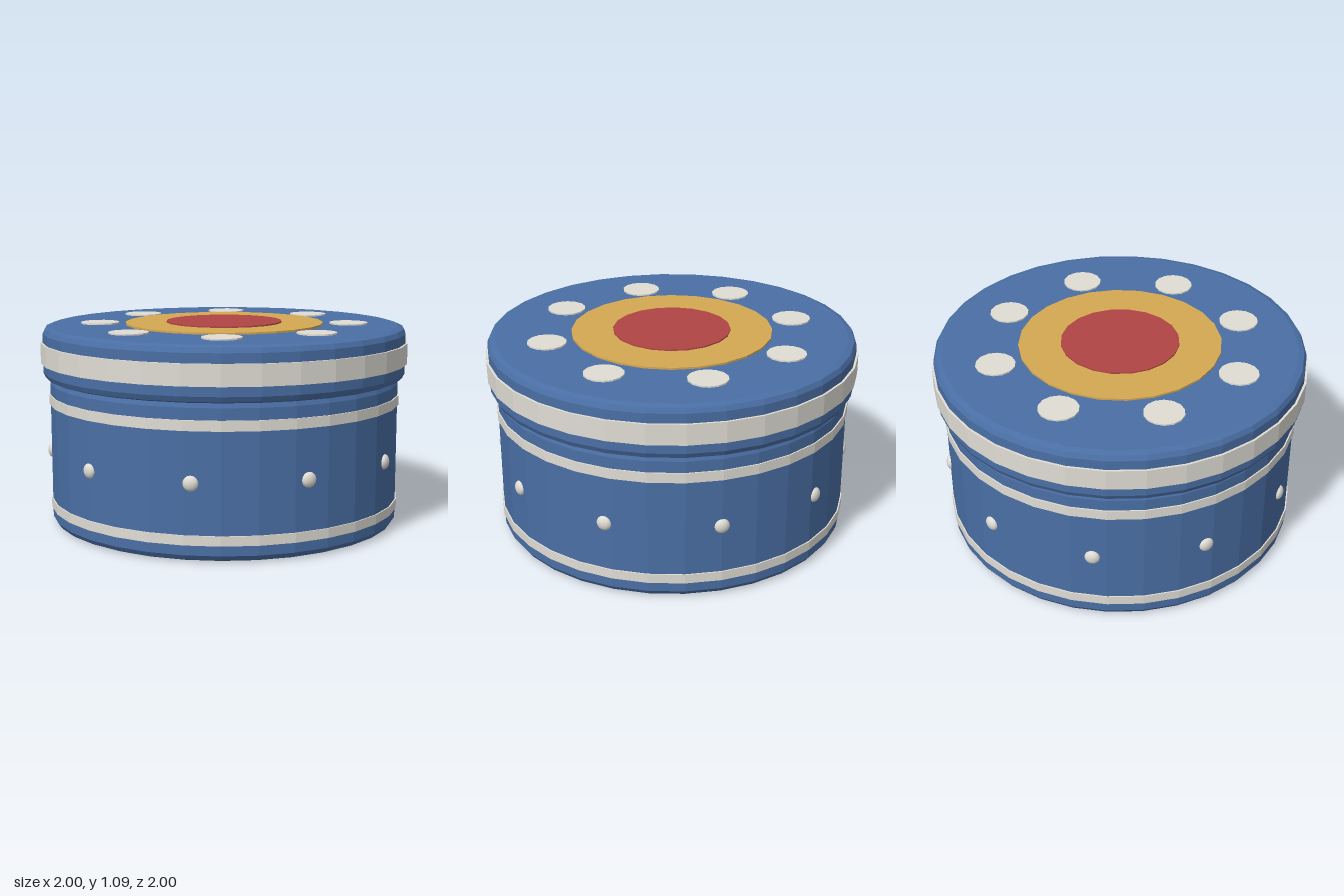
import * as THREE from 'three';

const paint = (color) => new THREE.MeshStandardMaterial({ color, flatShading: true });

export function createModel() {
  const group = new THREE.Group();
  const blue = paint(0x4a6fa5), cream = paint(0xe0ddd5), gold = paint(0xd4a853), red = paint(0xb04545);
  const studMaterial = new THREE.MeshStandardMaterial({ color: 0xe0ddd5 });

  const add = (name, geometry, material, x = 0, y = 0, z = 0) => {
    const mesh = new THREE.Mesh(geometry, material);
    mesh.name = name;
    mesh.position.set(x, y, z);
    group.add(mesh);
    return mesh;
  };
  const turned = (name, profile, material) =>
    add(name, new THREE.LatheGeometry(profile.map(([r, y]) => new THREE.Vector2(r, y)), 32), material);
  const disc = (name, radius, bottom, top, sides, material, x, z) =>
    add(name, new THREE.CylinderGeometry(radius, radius, top - bottom, sides), material, x, (bottom + top) / 2, z);

  // Box body and lid with bevelled edges
  turned('body', [[0, 0], [0.91, 0], [0.935, 0.01], [0.952, 0.035], [0.952, 0.77], [0.94, 0.8], [0.9, 0.81], [0, 0.81]], blue);
  turned('lid', [[0, 0.795], [0.955, 0.795], [0.975, 0.803], [0.988, 0.83], [0.988, 1.04], [0.975, 1.065], [0.945, 1.075], [0, 1.075]], blue);

  // Bands around body and lid
  const band = (name, r, y0, y1) =>
    turned(name, [[r - 0.03, y0], [r, y0], [r, y1], [r - 0.03, y1]], cream);
  band('lowerBand', 0.959, 0.087, 0.137);
  band('upperBand', 0.959, 0.657, 0.71);
  band('lidBand', 1, 0.88, 0.99);

  // Inlays on the lid
  disc('goldInlay', 0.54, 1.06, 1.085, 24, gold);
  disc('redInlay', 0.316, 1.07, 1.092, 20, red);
  for (let i = 0; i < 8; i++) {
    const a = (i * Math.PI) / 4;
    disc('lidSpot', 0.105, 1.06, 1.083, 14, cream, 0.68 * Math.cos(a), 0.68 * Math.sin(a));
  }

  // Flattened studs around the body
  for (let i = 0; i < 10; i++) {
    const a = (i * Math.PI) / 5;
    const stud = add('stud', new THREE.SphereGeometry(0.04, 14, 10), studMaterial,
      0.948 * Math.cos(a), 0.397, 0.948 * Math.sin(a));
    stud.scale.x = 0.6;
    stud.rotation.y = -a;
  }
  return group;
}
